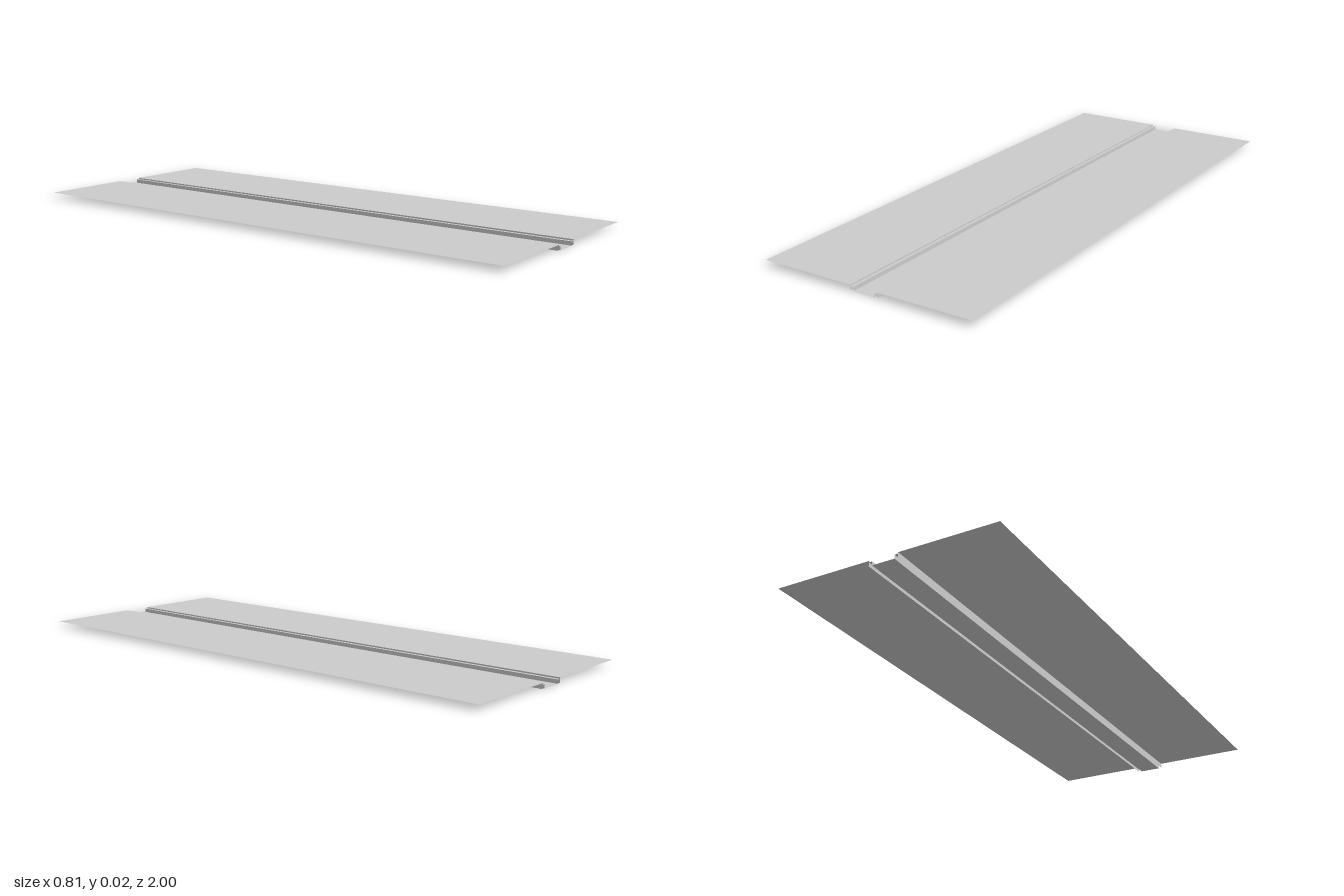
import * as THREE from 'three';

const LENGTH = 2, HALF_WIDTH = 0.405;
const KERB_IN = 0.041, KERB_OUT = 0.053;
const KERB_TOP = 0.014, PAVEMENT_TOP = 0.019;

export function createModel() {
  const group = new THREE.Group();
  const material = new THREE.MeshStandardMaterial({ color: 0xcccccc, side: THREE.DoubleSide });

  // horizontal sheet running the whole length, from x0 to x1 at height y
  const sheet = (name, x0, x1, y) => {
    const mesh = new THREE.Mesh(new THREE.PlaneGeometry(Math.abs(x1 - x0), LENGTH), material);
    mesh.rotation.x = -Math.PI / 2;
    mesh.position.set((x0 + x1) / 2, y, 0);
    mesh.name = name;
    group.add(mesh);
  };

  // upright strip at x, facing the road
  const wall = (name, x, y0, y1) => {
    const mesh = new THREE.Mesh(new THREE.PlaneGeometry(LENGTH, y1 - y0), material);
    mesh.rotation.y = -Math.sign(x) * Math.PI / 2;
    mesh.position.set(x, (y0 + y1) / 2, 0);
    mesh.name = name;
    group.add(mesh);
  };

  // sunken road
  sheet('road', -KERB_IN, KERB_IN, 0);

  // stepped kerb and broad ground on each side
  for (const [side, s] of [['left', 1], ['right', -1]]) {
    wall(side + 'KerbFace', s * KERB_IN, 0, KERB_TOP);
    sheet(side + 'KerbTop', s * KERB_IN, s * KERB_OUT, KERB_TOP);
    wall(side + 'GroundEdge', s * KERB_OUT, 0, PAVEMENT_TOP);
    sheet(side + 'Ground', s * KERB_OUT, s * HALF_WIDTH, PAVEMENT_TOP);
  }
  return group;
}
